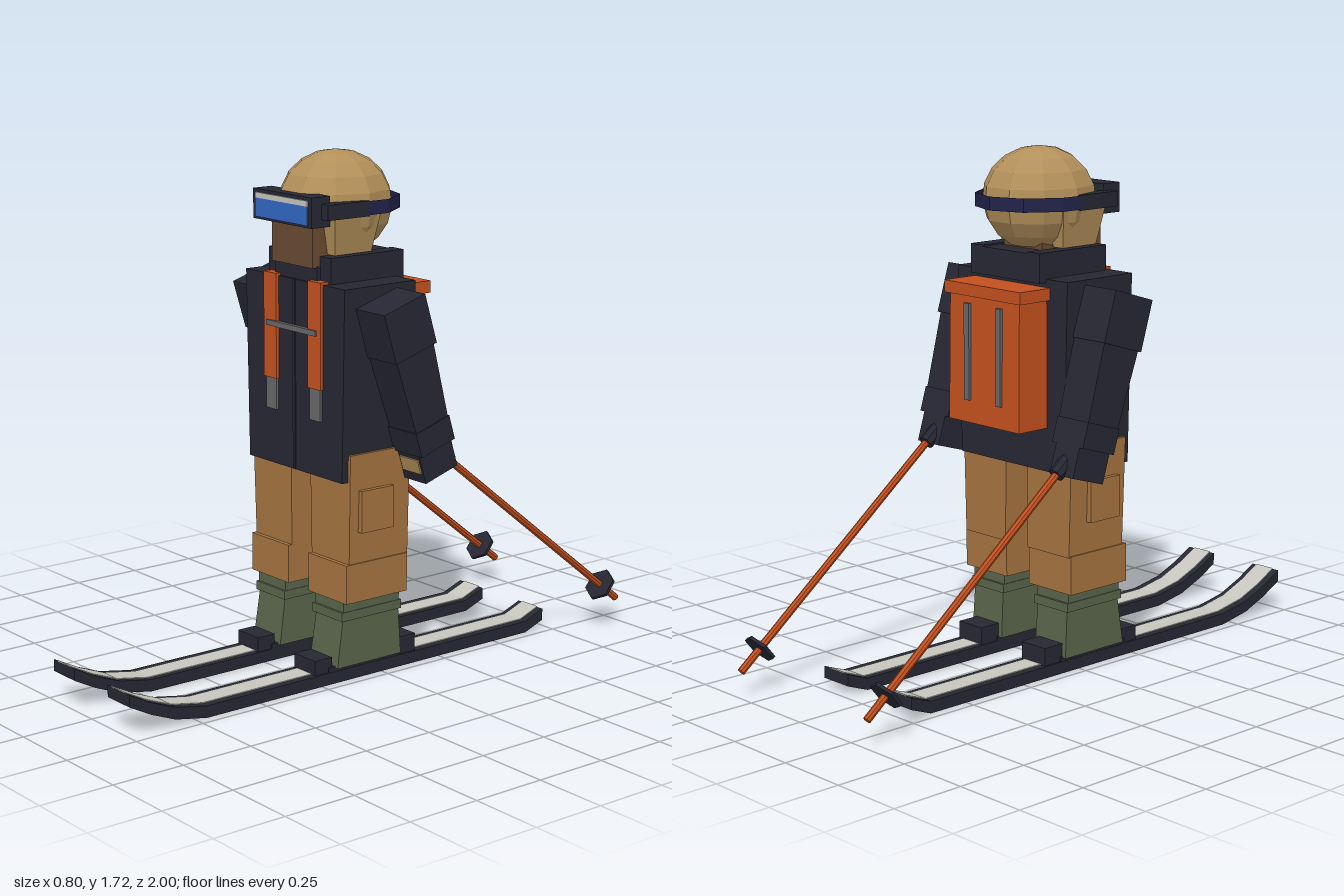
import * as THREE from 'three';
import { toCreasedNormals } from 'three/addons/utils/BufferGeometryUtils.js';

const mat = (name, color, extra = {}) => {
  const m = new THREE.MeshStandardMaterial({ color, ...extra });
  m.name = name;
  return m;
};

export function createModel() {
  const navy = mat('jacket navy', 0x272733);
  const strapBlue = mat('strap blue', 0x22224a, { side: THREE.DoubleSide });
  const orange = mat('orange', 0xc4501f);
  const tan = mat('helmet tan', 0xb3905a, { side: THREE.DoubleSide });
  const ochre = mat('trouser ochre', 0xa67440);
  const green = mat('boot green', 0x58644a);
  const skin = mat('face brown', 0x694a32);
  const blue = mat('lens blue', 0x3268c4);
  const grey = mat('webbing grey', 0x68686c);
  const pale = mat('pale grey', 0xc6c6be);

  const model = new THREE.Group();
  model.name = 'skier';

  const add = (parent, name, geometry, material) => {
    const mesh = new THREE.Mesh(geometry, material);
    mesh.name = name;
    parent.add(mesh);
    return mesh;
  };
  // Box by its limits; top = [x0, x1, z0, z1] reshapes the upper face
  const block = (parent, name, material, [x0, x1], [y0, y1], [z0, z1], top = [x0, x1, z0, z1]) => {
    const g = new THREE.BoxGeometry(1, 1, 1);
    const p = g.attributes.position;
    for (let i = 0; i < p.count; i++) {
      const up = p.getY(i) > 0;
      const [a, b, c, d] = up ? top : [x0, x1, z0, z1];
      p.setXYZ(i, p.getX(i) > 0 ? b : a, up ? y1 : y0, p.getZ(i) > 0 ? d : c);
    }
    g.computeVertexNormals();
    return add(parent, name, g, material);
  };
  // Straight bar between two points
  const bar = (parent, name, material, a, b, radius, sides) => {
    const dir = b.clone().sub(a);
    const mesh = add(parent, name, toCreasedNormals(
      new THREE.CylinderGeometry(radius, radius, dir.length(), sides), 0.3), material);
    mesh.position.copy(a).lerp(b, 0.5);
    mesh.quaternion.setFromUnitVectors(new THREE.Vector3(0, 1, 0), dir.normalize());
    return mesh;
  };

  // Ski side line as [z, y] of the underside, swept across x
  const line = [[-0.73, 0.03], [-0.65, 0], [0.71, 0], [0.83, 0.022], [0.92, 0.058], [1, 0.1]];
  const sweep = (low, high, width, x) => {
    const pts = [...line.map(([z, y]) => new THREE.Vector2(z, y + low)),
      ...[...line].reverse().map(([z, y]) => new THREE.Vector2(z, y + high))];
    const g = new THREE.ExtrudeGeometry(new THREE.Shape(pts), { depth: width, bevelEnabled: false });
    return g.translate(0, 0, -width / 2).rotateY(-Math.PI / 2).translate(x, 0, 0);
  };

  for (const s of [1, -1]) {
    const side = s > 0 ? 'left' : 'right';
    const span = (a, b) => (s > 0 ? [a, b] : [-b, -a]);
    const topOf = (a, b, c, d) => [...span(a, b), c, d];

    // Skis and bindings
    const ski = new THREE.Group();
    ski.name = side + 'Ski';
    model.add(ski);
    add(ski, 'skiBase', sweep(0, 0.04, 0.122, s * 0.156), navy);
    add(ski, 'skiTopSheet', sweep(0.038, 0.043, 0.076, s * 0.153), pale);
    block(ski, 'bindingPlate', navy, span(0.095, 0.215), [0.04, 0.057], [-0.08, 0.22]);
    block(ski, 'toeBinding', navy, span(0.1, 0.21), [0.04, 0.09], [0.205, 0.275]);
    block(ski, 'heelBinding', navy, span(0.1, 0.21), [0.04, 0.1], [-0.15, -0.07]);

    // Boots and trousers
    const leg = new THREE.Group();
    leg.name = side + 'Leg';
    model.add(leg);
    block(leg, 'boot', green, span(0.082, 0.228), [0.052, 0.22], [-0.073, 0.195], topOf(0.085, 0.225, -0.063, 0.17));
    block(leg, 'bootStrap', green, span(0.077, 0.233), [0.21, 0.24], [-0.07, 0.18]);
    block(leg, 'bootCuff', green, span(0.08, 0.23), [0.23, 0.3], [-0.062, 0.172]);
    block(leg, 'trouserCuff', ochre, span(0.054, 0.255), [0.275, 0.405], [-0.075, 0.18]);
    block(leg, 'trouserLeg', ochre, span(0.054, 0.25), [0.4, 0.77], [-0.08, 0.165], topOf(0.05, 0.26, -0.08, 0.168));
    block(leg, 'trouserPocket', ochre, span(0.24, 0.273), [0.51, 0.65], [-0.003, 0.13]);

    // Arm hangs from the shoulder and swings back
    const arm = new THREE.Group();
    arm.name = side + 'Arm';
    arm.position.set(s * 0.322, 1.265, 0.06);
    arm.rotation.x = 0.3;
    model.add(arm);
    block(arm, 'shoulder', navy, [-0.077, 0.077], [-0.165, 0.006], [-0.087, 0.087]);
    block(arm, 'sleeve', navy, [-0.066, 0.066], [-0.45, -0.15], [-0.068, 0.068], [-0.07, 0.07, -0.08, 0.08]);
    block(arm, 'sleeveCuff', navy, [-0.07, 0.07], [-0.505, -0.42], [-0.073, 0.073]);
    block(arm, 'glove', navy, [-0.053, 0.053], [-0.605, -0.5], [-0.07, 0.07]);
    block(arm, 'glovePatch', tan, [-0.045, 0.045], [-0.57, -0.52], [0.068, 0.075]);

    // Ski pole
    const at = (t) => new THREE.Vector3(s * 0.315, 0.785 - 0.7 * t, -0.11 - 0.88 * t);
    const pole = new THREE.Group();
    pole.name = side + 'Pole';
    model.add(pole);
    bar(pole, 'poleShaft', orange, at(0), at(1), 0.013, 8);
    bar(pole, 'poleGrip', navy, at(0), at(0.105), 0.026, 8);
    bar(pole, 'poleBasket', navy, at(0.907), at(0.917), 0.058, 6);

    // Pack shoulder straps
    block(model, side + 'PackStrap', orange, span(0.083, 0.15), [0.97, 1.32], [0.185, 0.203]);
    block(model, side + 'StrapOverShoulder', orange, span(0.083, 0.15), [1.305, 1.32], [-0.11, 0.203]);
    block(model, side + 'StrapTail', grey, span(0.088, 0.143), [0.865, 0.975], [0.185, 0.2]);
    block(model, side + 'PackWebbing', grey, span(0.063, 0.087), [0.9, 1.22], [-0.232, -0.215]);
    block(model, side + 'Collar', navy, span(0.105, 0.163), [1.3, 1.397], [-0.13, 0.17]);
  }

  // Jacket
  block(model, 'jacketBody', navy, [-0.247, 0.247], [0.68, 1.312], [-0.1, 0.192], [-0.26, 0.26, -0.1, 0.192]);
  block(model, 'jacketZip', navy, [-0.006, 0.006], [0.685, 1.31], [0.19, 0.196]);
  block(model, 'collarFront', navy, [-0.11, 0.11], [1.3, 1.365], [0.1, 0.185]);
  block(model, 'collarBack', navy, [-0.163, 0.163], [1.3, 1.392], [-0.13, -0.05]);
  block(model, 'chestStrap', grey, [-0.13, 0.13], [1.145, 1.163], [0.195, 0.21]);

  // Backpack
  block(model, 'packBody', orange, [-0.168, 0.168], [0.825, 1.25], [-0.225, -0.1], [-0.165, 0.165, -0.22, -0.1]);
  block(model, 'packLid', orange, [-0.18, 0.18], [1.245, 1.285], [-0.232, -0.1]);

  // Head
  block(model, 'neck', skin, [-0.09, 0.09], [1.3, 1.45], [-0.05, 0.12]);
  block(model, 'face', skin, [-0.107, 0.107], [1.36, 1.52], [0, 0.2]);
  const dome = new THREE.SphereGeometry(1, 10, 8, 0, Math.PI * 2, 0, Math.PI * 0.83);
  dome.scale(0.182, 0.172, 0.197).translate(0, 1.548, 0.022);
  add(model, 'helmet', toCreasedNormals(dome, 0.01), tan);
  for (const s of [1, -1])
    block(model, 'helmetEarGuard', tan, s > 0 ? [0.1, 0.145] : [-0.145, -0.1], [1.4, 1.53], [-0.01, 0.14],
      s > 0 ? [0.1, 0.17, -0.03, 0.16] : [-0.17, -0.1, -0.03, 0.16]);

  // Goggles
  const band = new THREE.CylinderGeometry(1, 1, 0.045, 10, 1, true);
  band.scale(0.195, 1, 0.216).translate(0, 1.548, 0.02);
  add(model, 'goggleStrap', toCreasedNormals(band, 0.01), strapBlue);
  for (const s of [1, -1])
    block(model, 'strapClip', navy, s > 0 ? [0.14, 0.186] : [-0.186, -0.14], [1.522, 1.572], [0.03, 0.2]);
  block(model, 'goggleFrame', navy, [-0.153, 0.153], [1.497, 1.595], [0.165, 0.24]);
  block(model, 'goggleLens', blue, [-0.136, 0.136], [1.505, 1.566], [0.238, 0.245]);
  block(model, 'goggleGlint', pale, [-0.136, 0.136], [1.566, 1.584], [0.238, 0.245]);

  return model;
}
